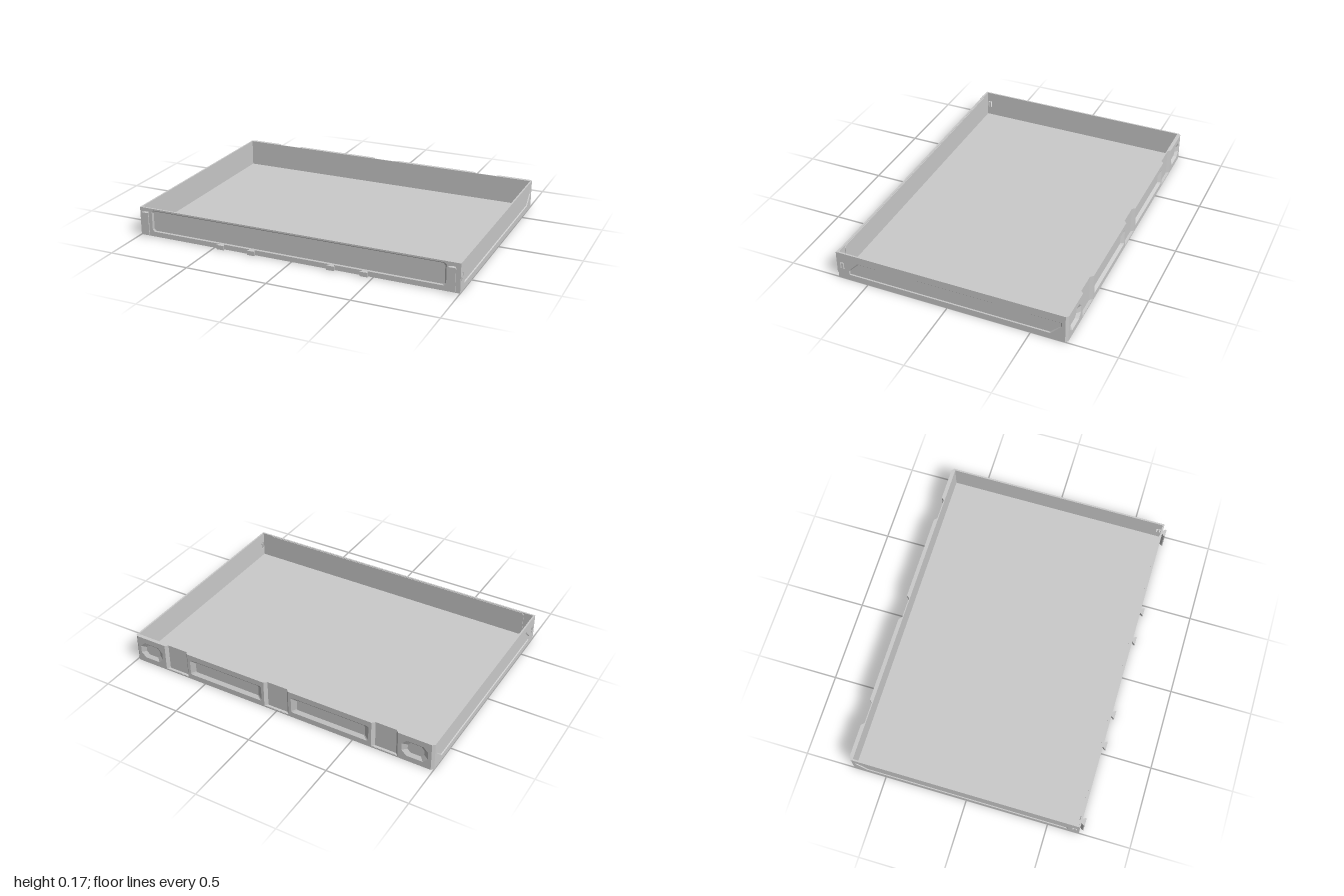
import * as THREE from 'three';

const material = new THREE.MeshStandardMaterial({ color: 0xcccccc, flatShading: true, side: THREE.DoubleSide });
const H = 0.175;

function mesh(name, geometry, parent) {
  const m = new THREE.Mesh(geometry, material);
  m.name = name;
  parent.add(m);
  return m;
}

const toPath = (pts, Type = THREE.Shape) => new Type(pts.map(([x, y]) => new THREE.Vector2(x, y)));
const rect = (x0, x1, y0, y1) => [[x0, y0], [x1, y0], [x1, y1], [x0, y1]];
const flip = (pts) => pts.map(([x, y]) => [-x, y]).reverse();

// Flat slab with holes, from z0 to z1
function slab(name, outline, holes, z0, z1, parent) {
  const shape = toPath(outline);
  shape.holes = holes.map((h) => toPath(h, THREE.Path));
  const g = new THREE.ExtrudeGeometry(shape, { depth: z1 - z0, bevelEnabled: false });
  return mesh(name, g.translate(0, 0, z0), parent);
}

// Sloped sides of a recess, from its rim to its smaller floor outline
function recessSides(name, rim, floor, zRim, zFloor, parent) {
  const pos = [], idx = [], n = rim.length;
  rim.forEach(([x, y], i) => pos.push(x, y, zRim, floor[i][0], floor[i][1], zFloor));
  for (let i = 0; i < n; i++) {
    const a = 2 * i, b = 2 * ((i + 1) % n);
    idx.push(a, b, b + 1, a, b + 1, a + 1);
  }
  const g = new THREE.BufferGeometry();
  g.setAttribute('position', new THREE.Float32BufferAttribute(pos, 3));
  g.setIndex(idx);
  g.computeVertexNormals();
  mesh(name, g, parent);
}

// Shrinks an outline towards the middle of its bounds by fixed margins
function shrink(pts, dx, dy) {
  const xs = pts.map((p) => p[0]), ys = pts.map((p) => p[1]);
  const x0 = Math.min(...xs), x1 = Math.max(...xs), y0 = Math.min(...ys), y1 = Math.max(...ys);
  const cx = (x0 + x1) / 2, cy = (y0 + y1) / 2;
  const sx = 1 - (2 * dx) / (x1 - x0), sy = 1 - (2 * dy) / (y1 - y0);
  return pts.map(([x, y]) => [cx + (x - cx) * sx, cy + (y - cy) * sy]);
}

// Rectangle with small cut corners
function cutRect(x0, x1, y0, y1, c) {
  return [[x0 + c, y0], [x1 - c, y0], [x1, y0 + c], [x1, y1 - c],
    [x1 - c, y1], [x0 + c, y1], [x0, y1 - c], [x0, y0 + c]];
}

// Upright prism from a plan outline of [x, z] points
function upright(name, plan, y0, y1, parent) {
  const shape = toPath(plan.map(([x, z]) => [x, -z]));
  const g = new THREE.ExtrudeGeometry(shape, { depth: y1 - y0, bevelEnabled: false });
  g.rotateX(-Math.PI / 2).translate(0, y0, 0);
  return mesh(name, g, parent);
}

// Side wall with its long angled recess and latch opening
function sideWall(side) {
  const wall = new THREE.Group();
  wall.name = side > 0 ? 'leftWall' : 'rightWall';
  const place = (pts) => (side > 0 ? pts : flip(pts));
  const outline = place(rect(-0.69, 0.7, 0, H));
  const panel = place([[-0.62, 0.035], [0.615, 0.035], [0.68, 0.1], [0.68, 0.128], [-0.56, 0.128], [-0.62, 0.062]]);
  // the opening runs around a small tongue that is joined at the bottom
  const latch = place([[-0.674, 0.066], [-0.668, 0.066], [-0.668, 0.103], [-0.656, 0.103],
    [-0.656, 0.066], [-0.649, 0.066], [-0.649, 0.11], [-0.674, 0.11]]);
  slab('wallSkin', outline, [latch], 0.99, 0.995, wall);
  slab('wallFace', outline, [panel, latch], 0.995, 1, wall);
  recessSides('panelEdge', panel, shrink(panel, 0.007, 0.005), 1, 0.995, wall);
  wall.rotation.y = side * Math.PI / 2;
  return wall;
}

// Front wall with a wide recessed panel
function frontWall() {
  const wall = new THREE.Group();
  wall.name = 'frontWall';
  const outline = rect(-0.99, 0.99, 0, H);
  const panel = cutRect(-0.92, 0.92, 0.03, 0.165, 0.012);
  slab('wallSkin', outline, [], 0.679, 0.684, wall);
  slab('wallFace', outline, [panel], 0.684, 0.69, wall);
  recessSides('panelEdge', panel, shrink(panel, 0.01, 0.006), 0.69, 0.684, wall);
  slab('innerPanel', cutRect(-0.93, 0.93, 0.025, 0.172, 0.012), [], 0.674, 0.679, wall);
  return wall;
}

// Back wall: pockets with sloped sides, separated by tapered upright grooves
function backWall() {
  const wall = new THREE.Group();
  wall.name = 'backWall';
  const zIn = 0.69, zFloor = 0.696, zOut = 0.713;
  slab('wallSkin', rect(-0.99, 0.99, 0, H), [], zIn, zFloor, wall);
  const blocks = [
    [-0.985, -0.782, cutRect(-0.965, -0.805, 0.035, 0.14, 0.03)],
    [-0.618, -0.082, cutRect(-0.6, -0.1, 0.035, 0.14, 0.008)],
    [0.082, 0.618, cutRect(0.1, 0.6, 0.035, 0.14, 0.008)],
    [0.782, 0.985, cutRect(0.805, 0.965, 0.035, 0.14, 0.03)],
  ];
  for (const [x0, x1, pocket] of blocks) {
    slab('backBlock', rect(x0, x1, 0, H), [pocket], zFloor, zOut, wall);
    recessSides('pocketSides', pocket, shrink(pocket, 0.03, 0.018), zOut, zFloor + 0.001, wall);
  }
  // sloped cheeks and closed foot of each groove
  for (const x of [-0.7, 0, 0.7]) {
    for (const s of [-1, 1]) {
      upright('grooveCheek', [[x + s * 0.082, zOut], [x + s * 0.082, zFloor], [x + s * 0.065, zFloor]], 0, H, wall);
    }
    slab('grooveFoot', rect(x - 0.082, x + 0.082, 0, 0.008), [], zFloor, zOut, wall);
  }
  // angled rear corners
  for (const s of [-1, 1]) {
    upright('rearCorner', [[s * 0.985, zFloor], [s, zFloor], [s, 0.7], [s * 0.985, zOut]], 0, H, wall);
  }
  wall.rotation.y = Math.PI;
  return wall;
}

export function createModel() {
  const tray = new THREE.Group();
  tray.name = 'tray';

  upright('floor', [[-0.999, 0.689], [0.999, 0.689], [0.999, -0.7], [0.985, -0.712], [-0.985, -0.712], [-0.999, -0.7]], 0.0005, 0.01, tray);
  tray.add(sideWall(1), sideWall(-1), frontWall(), backWall());

  // Flared connectors on the front: tall at the corners, short along the bottom
  const flare = (x, w) => [[x - w * 0.5, 0.689], [x + w * 0.5, 0.689], [x + w, 0.705], [x + w, 0.711], [x - w, 0.711], [x - w, 0.705]];
  for (const s of [-1, 1]) {
    upright('cornerConnector', flare(s * 0.955, 0.023), 0.012, 0.152, tray);
    for (const x of [0.25, 0.45]) upright('lowerConnector', flare(s * x, 0.024), 0.003, 0.03, tray);
  }
  return tray;
}
